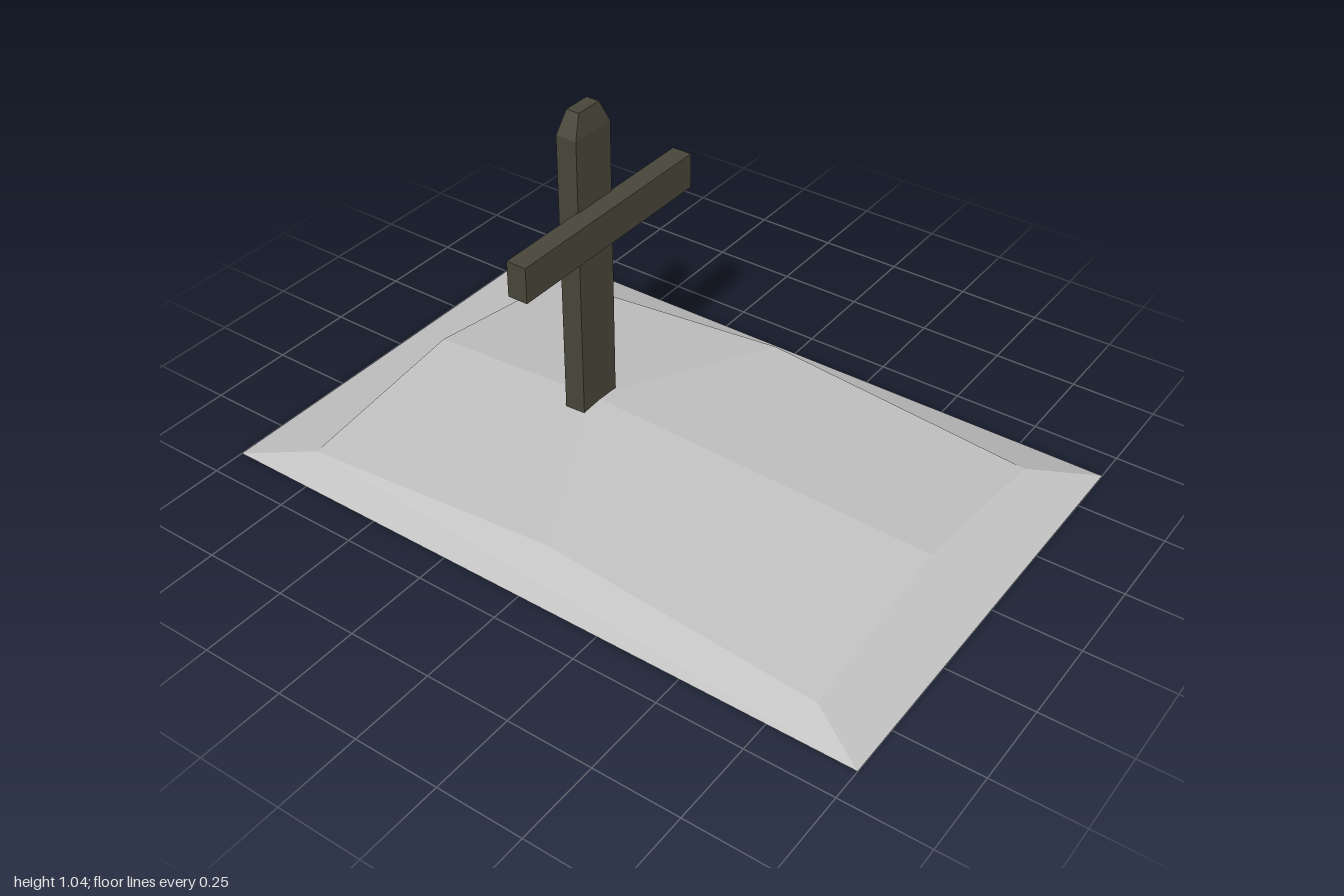
import * as THREE from 'three';

const stone = new THREE.MeshStandardMaterial({ color: 0xc0c0c0 });
stone.name = 'pale grey earth';
const wood = new THREE.MeshStandardMaterial({ color: 0x484639 });
wood.name = 'dark weathered wood';

// Fan-triangulated polygons; each polygon is shaded with one average normal.
function facets(name, polygons, material) {
  const positions = [], normals = [];
  for (const poly of polygons) {
    const pts = poly.map((p) => new THREE.Vector3(...p));
    const normal = new THREE.Vector3();
    pts.forEach((p, i) => normal.add(p.clone().cross(pts[(i + 1) % pts.length])));
    normal.normalize();
    for (let i = 1; i < pts.length - 1; i++) {
      for (const p of [pts[0], pts[i], pts[i + 1]]) {
        positions.push(p.x, p.y, p.z);
        normals.push(normal.x, normal.y, normal.z);
      }
    }
  }
  const geometry = new THREE.BufferGeometry();
  geometry.setAttribute('position', new THREE.Float32BufferAttribute(positions, 3));
  geometry.setAttribute('normal', new THREE.Float32BufferAttribute(normals, 3));
  const mesh = new THREE.Mesh(geometry, material);
  mesh.name = name;
  return mesh;
}

function box(name, min, max) {
  const size = max.map((v, i) => v - min[i]);
  const mesh = new THREE.Mesh(new THREE.BoxGeometry(...size), wood);
  mesh.position.set(...max.map((v, i) => (v + min[i]) / 2));
  mesh.name = name;
  return mesh;
}

export function createModel() {
  const group = new THREE.Group();
  group.name = 'graveMound';

  // Mound rings, counter-clockwise from above, starting at front left (+x, +z)
  const X = 1, Z = 0.655, x = 0.82, z = 0.54, low = 0.016, high = 0.091;
  const signs = [[1, 1], [1, -1], [-1, -1], [-1, 1]];
  const outer = signs.map(([a, b]) => [a * X, 0, b * Z]);
  const inner = signs.map(([a, b]) => [a * x, low, b * z]);
  const mids = [[x, high, 0], [0, high, -z], [-x, high, 0], [0, high, z]];
  const peak = [-0.26, 0.125, 0];

  const skirt = [], dome = [];
  for (let i = 0; i < 4; i++) {
    const j = (i + 1) % 4;
    skirt.push([inner[i], outer[i], outer[j], inner[j], mids[i]]);
    dome.push([mids[(i + 3) % 4], inner[i], mids[i], peak]);
  }
  group.add(facets('moundSkirt', skirt, stone));
  group.add(facets('moundTop', dome, stone));

  // Underside in two tones
  const under = (a, b) => [[[a, 0, -Z], [b, 0, -Z], [b, 0, Z], [a, 0, Z]]];
  group.add(facets('undersidePale', under(0.48, X), stone));
  group.add(facets('undersideDark', under(-X, 0.48), wood));

  // Upright post with a tapered tip
  group.add(box('post', [-0.3, 0.11, -0.072], [-0.236, 0.975, 0.072]));
  const tip = box('postTip', [-0.3, 0.975, -0.072], [-0.236, 1.04, 0.072]);
  const pos = tip.geometry.attributes.position;
  for (let i = 0; i < pos.count; i++) {
    if (pos.getY(i) > 0) {
      pos.setX(i, pos.getX(i) * 0.62);
      pos.setZ(i, pos.getZ(i) * 0.58);
    }
  }
  tip.geometry.computeVertexNormals();
  group.add(tip);

  // Crossbar fixed to the face of the post
  group.add(box('crossbar', [-0.24, 0.66, -0.356], [-0.18, 0.765, 0.356]));
  return group;
}
